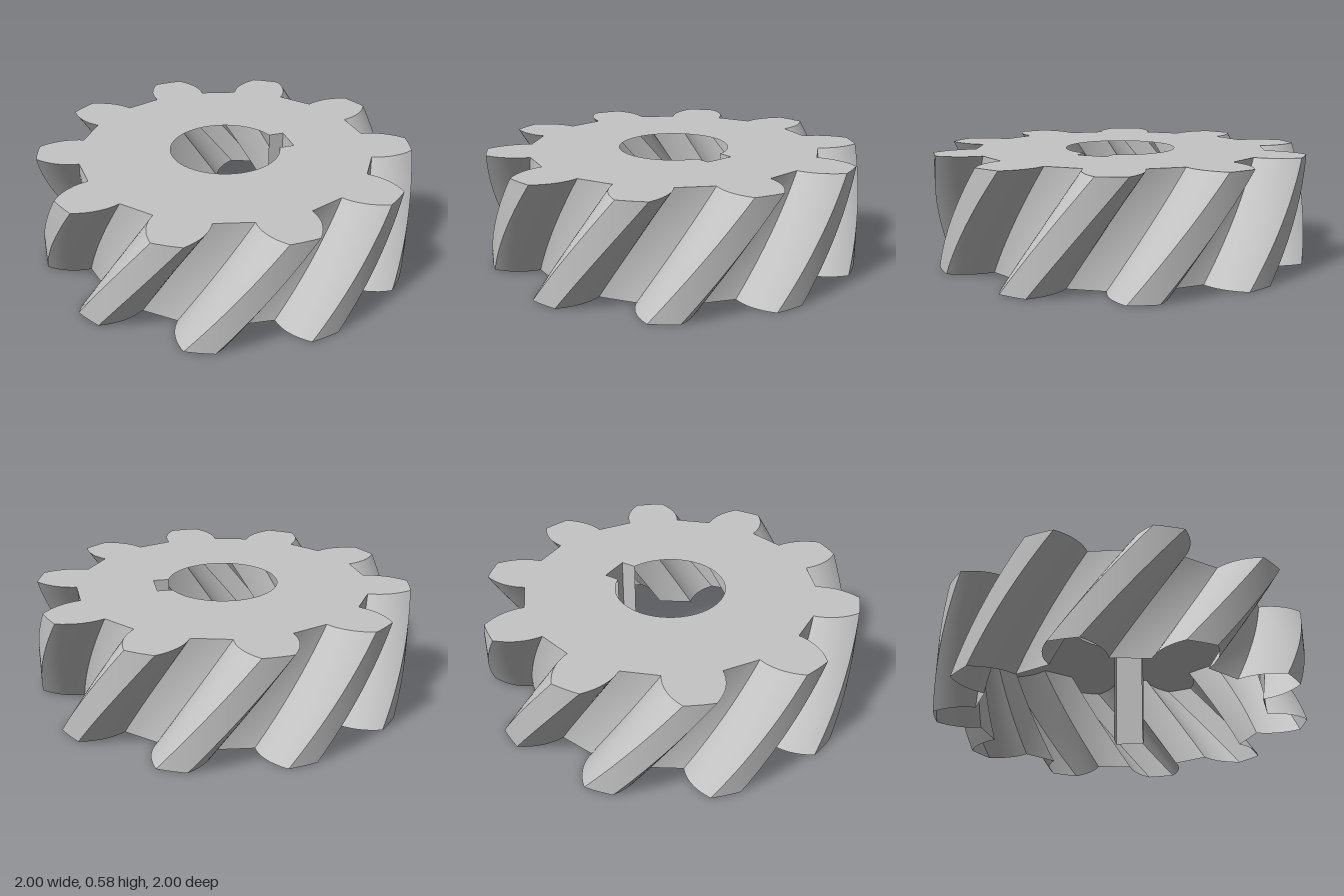
import * as THREE from 'three';
import { ParametricGeometry } from 'three/addons/geometries/ParametricGeometry.js';
import { mergeGeometries } from 'three/addons/utils/BufferGeometryUtils.js';

const TEETH = 10, HEIGHT = 0.585, TWIST = 28, PITCH = 360 / TEETH, OFFSET = 3.2;
const TIP_R = 1, ROOT_R = 0.78, BORE_R = 0.294;
const KEY_X = 0.365, KEY_Z = 0.081;
const rad = THREE.MathUtils.degToRad;

// Angles run from +z towards +x; each profile piece maps t (0..1) to [radius, degrees].
const flank = (t) => {
  const k = 2 * t * (1 - t);
  return [
    (1 - t) ** 2 * ROOT_R + k * 0.89 + t * t * TIP_R,
    (1 - t) ** 2 * 10.7 + k * 10.4 + t * t * 4.4,
  ];
};
const rightFlank = (t) => { const [r, a] = flank(t); return [r, -a]; };
const land = (t) => [TIP_R, -4.4 + 8.8 * t];
const leftFlank = (t) => flank(1 - t);
const root = (t) => {
  const half = PITCH / 2 - 10.7, x = half * (2 * t - 1);
  return [ROOT_R * Math.cos(rad(half)) / Math.cos(rad(x)), PITCH / 2 + x];
};
const pieces = [rightFlank, land, leftFlank, root];

// Sweep one profile piece up the helix.
function sweep(piece) {
  return new ParametricGeometry((u, v, target) => {
    const [r, a] = piece(u);
    const angle = rad(a + OFFSET + TWIST * (v - 1));
    target.set(r * Math.sin(angle), HEIGHT * v, r * Math.cos(angle));
  }, 8, 24);
}

// Top face: toothed outline with a keyed bore.
function topFaceGeometry() {
  const outline = [];
  for (let i = 0; i < TEETH; i++) {
    for (const piece of pieces) {
      for (let s = 0; s < 8; s++) {
        const [r, a] = piece(s / 8);
        const angle = rad(a + OFFSET + i * PITCH);
        outline.push(new THREE.Vector2(r * Math.sin(angle), -r * Math.cos(angle)));
      }
    }
  }
  const shape = new THREE.Shape(outline);
  const open = Math.asin(KEY_Z / BORE_R);
  const bore = new THREE.Path();
  bore.moveTo(KEY_X, -KEY_Z);
  bore.lineTo(KEY_X, KEY_Z);
  bore.absarc(0, 0, BORE_R, open, Math.PI * 2 - open, false);
  bore.closePath();
  shape.holes.push(bore);
  return new THREE.ShapeGeometry(shape, 40).rotateX(-Math.PI / 2).translate(0, HEIGHT, 0);
}

export function createModel() {
  const group = new THREE.Group();
  group.name = 'helicalGear';
  const steel = new THREE.MeshStandardMaterial({ color: 0xc4c4c4, side: THREE.DoubleSide });
  steel.name = 'steel';
  const add = (name, geometry) => {
    const mesh = new THREE.Mesh(geometry, steel);
    mesh.name = name;
    group.add(mesh);
    return mesh;
  };

  // Helical teeth, each with the root floor beside it
  const tooth = mergeGeometries(pieces.map(sweep));
  for (let i = 0; i < TEETH; i++) {
    add(`tooth${i + 1}`, tooth).rotation.y = rad(i * PITCH);
  }

  add('topFace', topFaceGeometry());

  // Keyway: a back wall and two side walls, running the full height
  const inner = Math.sqrt(BORE_R ** 2 - KEY_Z ** 2), depth = KEY_X - inner;
  add('keywayBack', new THREE.PlaneGeometry(KEY_Z * 2, HEIGHT)
    .rotateY(-Math.PI / 2).translate(KEY_X, HEIGHT / 2, 0));
  for (const side of [-1, 1]) {
    add(side < 0 ? 'keywayRearWall' : 'keywayFrontWall', new THREE.PlaneGeometry(depth, HEIGHT)
      .rotateY(side < 0 ? 0 : Math.PI)
      .translate(inner + depth / 2, HEIGHT / 2, side * KEY_Z));
  }
  return group;
}
